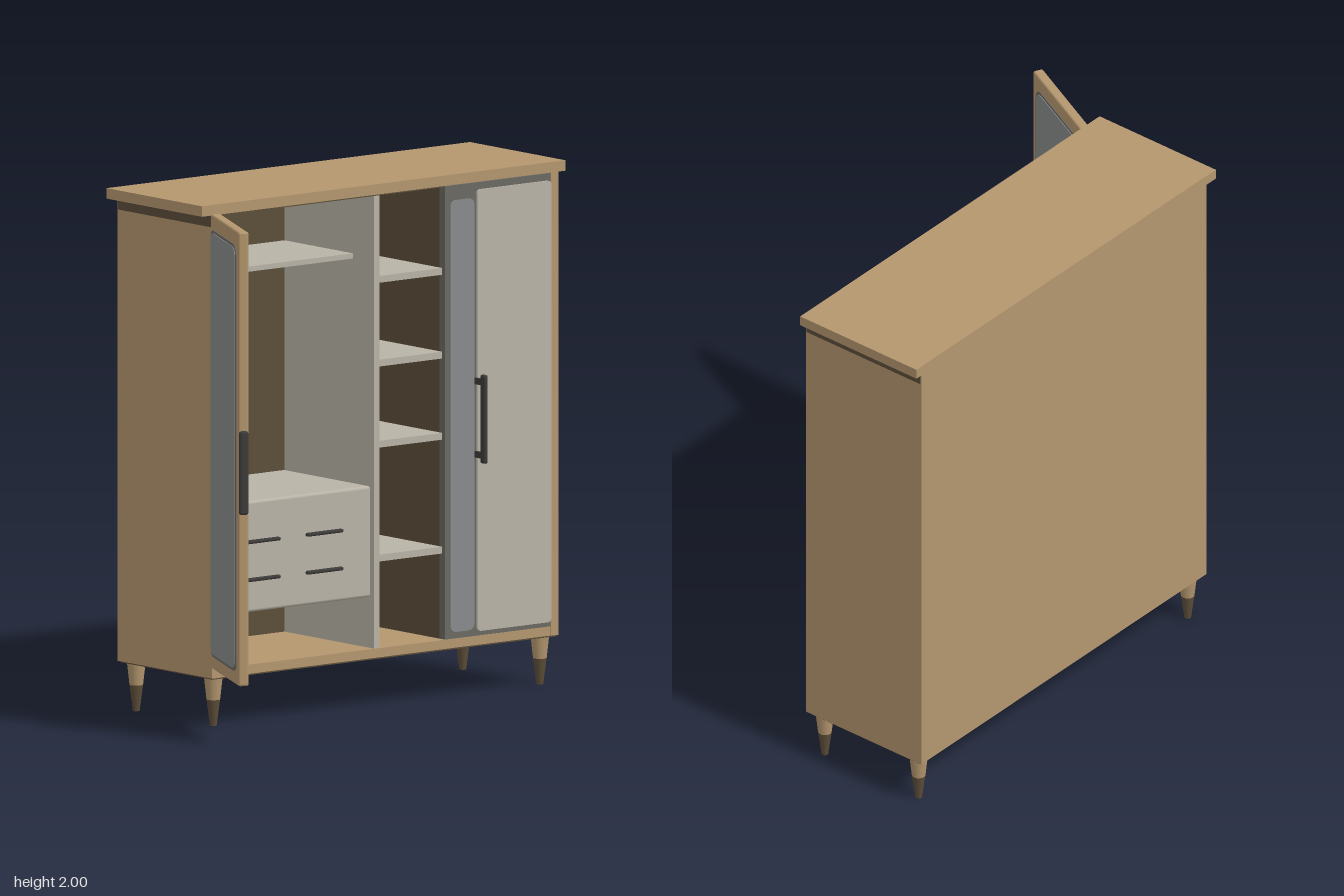
import * as THREE from 'three';
import { RoundedBoxGeometry } from 'three/addons/geometries/RoundedBoxGeometry.js';

const mat = (name, color) => {
  const m = new THREE.MeshStandardMaterial({ color });
  m.name = name;
  return m;
};

export function createModel() {
  const wood = mat('wood', 0xb3966e);
  const darkWood = mat('darkWood', 0x5c4d38);
  const white = mat('whitePaint', 0xb8b3a6);
  const mirror = mat('mirrorGlass', 0x87898a);
  const frame = mat('greyFrame', 0x6b6962);
  const dark = mat('darkMetal', 0x3c3b39);

  const model = new THREE.Group();
  model.name = 'wardrobe';

  const add = (parent, name, geometry, material) => {
    const mesh = new THREE.Mesh(geometry, material);
    mesh.name = name;
    parent.add(mesh);
    return mesh;
  };

  // Box given by its limits on each axis, with optional rounded edges
  const box = (parent, name, material, x0, x1, y0, y1, z0, z1, r = 0) => {
    const w = x1 - x0, h = y1 - y0, d = z1 - z0;
    const g = r ? new RoundedBoxGeometry(w, h, d, 2, r) : new THREE.BoxGeometry(w, h, d);
    g.translate((x0 + x1) / 2, (y0 + y1) / 2, (z0 + z1) / 2);
    return add(parent, name, g, material);
  };

  // Thin plate with rounded corners, lying in the xy plane from z upward
  const plate = (parent, name, material, x0, x1, y0, y1, z, t, r) => {
    const s = new THREE.Shape();
    s.moveTo(x0 + r, y0);
    s.lineTo(x1 - r, y0);
    s.quadraticCurveTo(x1, y0, x1, y0 + r);
    s.lineTo(x1, y1 - r);
    s.quadraticCurveTo(x1, y1, x1 - r, y1);
    s.lineTo(x0 + r, y1);
    s.quadraticCurveTo(x0, y1, x0, y1 - r);
    s.lineTo(x0, y0 + r);
    s.quadraticCurveTo(x0, y0, x0 + r, y0);
    const g = new THREE.ExtrudeGeometry(s, { depth: t, bevelEnabled: false, curveSegments: 6 });
    g.translate(0, 0, z);
    return add(parent, name, g, material);
  };

  // Carcass
  box(model, 'topSlab', wood, -0.8, 0.97, 1.96, 2, -0.515, 0.055);
  box(model, 'leftSidePanel', wood, 0.9, 0.935, 0.19, 1.96, -0.51, 0.055);
  box(model, 'rightSidePanel', wood, -0.75, -0.712, 0.19, 1.96, -0.51, 0.055);
  box(model, 'backPanel', wood, -0.712, 0.9, 0.19, 1.96, -0.51, -0.495);
  box(model, 'floorBoard', wood, -0.712, 0.9, 0.19, 0.225, -0.495, 0.05);
  box(model, 'underside', darkWood, -0.745, 0.93, 0.185, 0.19, -0.505, 0.05);
  for (const x of [-0.753, 0.935]) {
    box(model, 'sideShadowTrim', darkWood, x, x + 0.003, 1.915, 1.96, -0.505, 0.05);
  }

  // Interior lining, divider and shelves
  box(model, 'backLining', darkWood, -0.712, 0.9, 0.225, 1.955, -0.495, -0.488);
  box(model, 'sideLining', darkWood, -0.712, -0.706, 0.225, 1.955, -0.488, 0.04);
  box(model, 'ceilingLining', darkWood, -0.712, 0.9, 1.953, 1.96, -0.488, 0.04);
  box(model, 'divider', white, 0.045, 0.073, 0.225, 1.953, -0.488, 0.045);
  box(model, 'innerPartition', darkWood, 0.39, 0.41, 0.225, 1.953, -0.488, 0.015);
  for (const y of [0.565, 1.0, 1.31, 1.63]) {
    box(model, 'shelf', white, 0.073, 0.39, y - 0.013, y + 0.013, -0.488, 0.03);
  }
  box(model, 'hangingShelf', white, -0.706, 0.045, 1.7, 1.72, -0.488, -0.08);

  // Drawer chest with four pulls
  box(model, 'drawerChest', white, -0.706, 0.045, 0.42, 0.845, -0.488, 0.03, 0.012);
  for (const y of [0.545, 0.69]) {
    for (const [x0, x1] of [[-0.605, -0.405], [-0.275, -0.1]]) {
      box(model, 'drawerPull', dark, x0, x1, y - 0.007, y + 0.007, 0.025, 0.045, 0.006);
    }
  }

  // Closed door: grey leaf with a mirror strip and a white panel
  const closedDoor = new THREE.Group();
  closedDoor.name = 'closedDoor';
  model.add(closedDoor);
  box(closedDoor, 'doorLeaf', frame, 0.39, 0.902, 0.225, 1.957, 0.015, 0.048);
  plate(closedDoor, 'mirrorStrip', mirror, 0.412, 0.53, 0.25, 1.9, 0.048, 0.004, 0.03);
  plate(closedDoor, 'whitePanel', white, 0.54, 0.902, 0.243, 1.93, 0.048, 0.008, 0.02);
  box(closedDoor, 'doorHandle', dark, 0.526, 0.545, 0.89, 1.23, 0.085, 0.118, 0.009);
  for (const y of [0.92, 1.2]) {
    box(closedDoor, 'handlePost', dark, 0.53, 0.541, y - 0.012, y + 0.012, 0.05, 0.09);
  }

  // Open door, swung about its hinge line; local x runs from the hinge outward
  const openDoor = new THREE.Group();
  openDoor.name = 'openDoor';
  openDoor.position.set(-0.73, 0, 0.05);
  openDoor.rotation.y = -2.026;
  model.add(openDoor);
  box(openDoor, 'doorLeaf', wood, 0, 0.47, 0.23, 1.965, -0.02, 0.02, 0.008);
  for (const side of [-1, 1]) {
    const z = (t) => (side > 0 ? 0.02 : -0.02 - t);
    plate(openDoor, 'mirrorRim', frame, 0.015, 0.437, 0.28, 1.91, z(0.003), 0.003, 0.05);
    plate(openDoor, 'mirror', mirror, 0.025, 0.427, 0.29, 1.9, z(0.006), 0.006, 0.045);
  }
  box(openDoor, 'doorHandle', dark, 0.486, 0.51, 0.89, 1.21, -0.011, 0.025, 0.01);
  for (const y of [0.92, 1.18]) {
    box(openDoor, 'handlePost', dark, 0.465, 0.49, y - 0.012, y + 0.012, 0, 0.013);
  }

  // Tapered legs with dark tips
  for (const x of [-0.7, 0.89]) {
    for (const z of [0, -0.46]) {
      const leg = new THREE.Group();
      leg.name = 'leg';
      leg.position.set(x, 0, z);
      model.add(leg);
      const upper = new THREE.CylinderGeometry(0.036, 0.026, 0.09, 16);
      upper.translate(0, 0.145, 0);
      add(leg, 'legUpper', upper, wood);
      const tip = new THREE.CylinderGeometry(0.026, 0.013, 0.1, 16);
      tip.translate(0, 0.05, 0);
      add(leg, 'legTip', tip, darkWood);
    }
  }

  return model;
}
